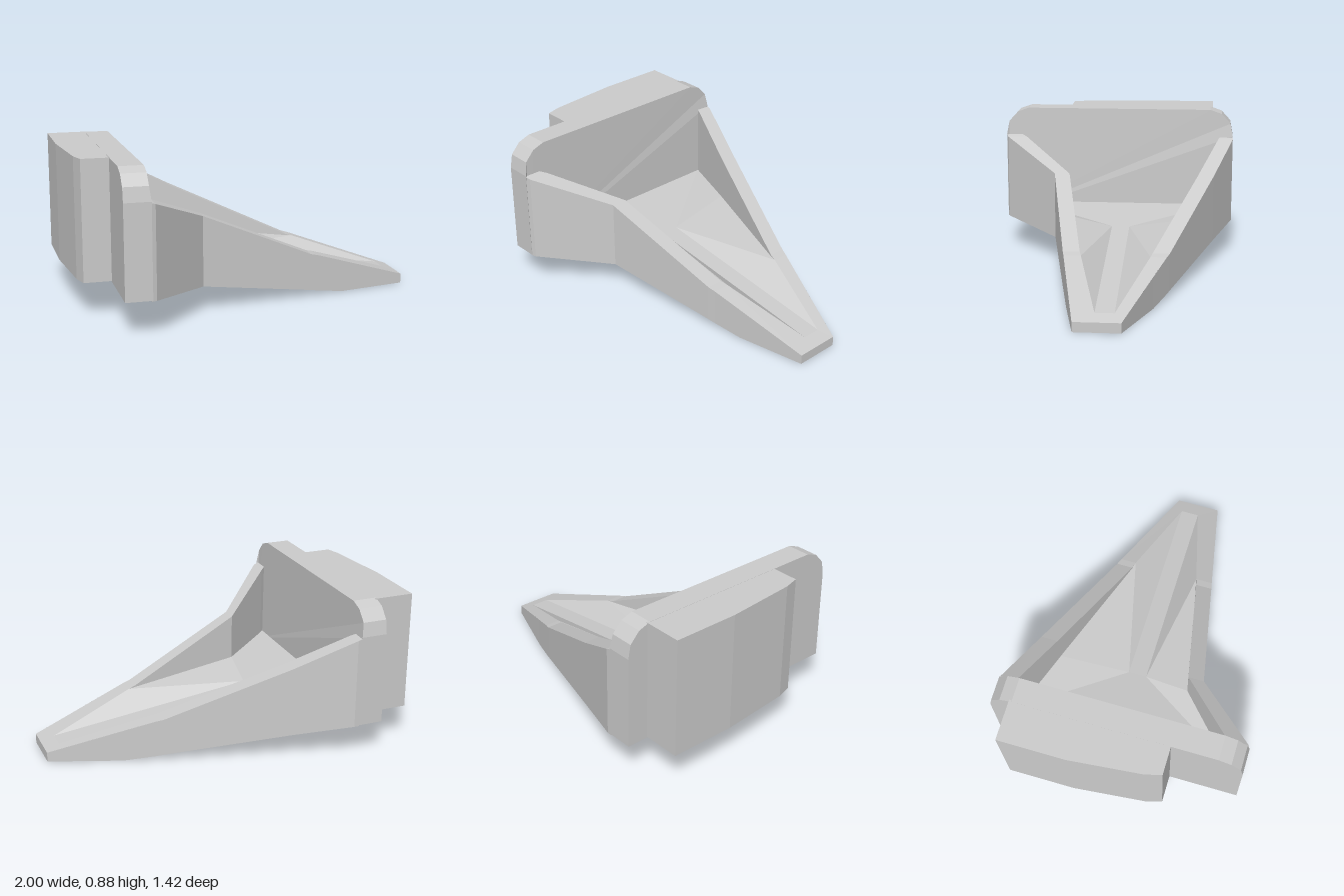
import * as THREE from 'three';

const material = new THREE.MeshStandardMaterial({ color: 0xcccccc, flatShading: true, side: THREE.DoubleSide });

// Mesh from planar faces, each a list of 3 or 4 [x, y, z] corners
function facetMesh(name, faces) {
  const positions = [];
  for (const f of faces) {
    for (let i = 1; i < f.length - 1; i++) positions.push(...f[0], ...f[i], ...f[i + 1]);
  }
  const geometry = new THREE.BufferGeometry();
  geometry.setAttribute('position', new THREE.Float32BufferAttribute(positions, 3));
  geometry.computeVertexNormals();
  const mesh = new THREE.Mesh(geometry, material);
  mesh.name = name;
  return mesh;
}

// Closed skin through equal rings of points, capped at both ends
function loft(name, rings) {
  const faces = [[...rings[0]].reverse(), rings[rings.length - 1]];
  for (let i = 0; i < rings.length - 1; i++) {
    const a = rings[i], b = rings[i + 1];
    a.forEach((p, j) => {
      const k = (j + 1) % a.length;
      faces.push([p, a[k], b[k], b[j]]);
    });
  }
  return facetMesh(name, faces);
}

// Stations along x: [x, bottom y, outer left z, outer right z]
const hull = [
  [-0.64, 0.19, 0.71, -0.71], [-0.61, 0.19, 0.70, -0.71], [-0.28, 0.145, 0.365, -0.595],
  [0.39, 0.035, 0.24, -0.355], [0.43, 0.027, 0.232, -0.34], [0.6, 0, 0.2, -0.275], [1, 0, 0.125, -0.13],
];
// Wall stations matching the first hull stations: [top y, inner left z, inner right z]
const rim = [
  [0.715, 0.61, -0.63], [0.705, 0.58, -0.62], [0.545, 0.275, -0.5], [0.25, 0.145, -0.26], [0.24, 0.135, -0.25],
];

function sideWall(name, side) {
  return loft(name, rim.map((r, i) => {
    const [x, bottom] = hull[i], outer = hull[i][2 + side], inner = r[1 + side];
    return [[x, bottom, outer], [x, r[0], outer], [x, r[0], inner], [x, bottom + 0.02, inner]];
  }));
}

// Sloping floor with a narrow channel running into the nose
function deck() {
  const back = [[-0.64, 0.285, 0.61], [-0.64, 0.285, -0.63]];
  const bend = [[-0.28, 0.28, 0.275], [-0.28, 0.28, -0.5]];
  const start = [[-0.25, 0.23, 0.015], [-0.25, 0.23, -0.09]];
  const end = [[0.92, 0.08, 0.015], [0.92, 0.08, -0.09]];
  const apex = [[0.43, 0.24, 0.135], [0.43, 0.24, -0.25]];
  const shoulder = [[0.43, 0.24, 0.232], [0.43, 0.24, -0.34]];
  const nose = [[1, 0.055, 0.125], [1, 0.055, -0.13]];
  const faces = [
    [back[0], start[0], start[1]], [back[0], start[1], back[1]],
    [start[0], end[0], end[1], start[1]], [end[0], nose[0], nose[1], end[1]],
  ];
  for (const s of [0, 1]) {
    const sideFaces = [
      [back[s], bend[s], start[s]], [bend[s], apex[s], start[s]],
      [start[s], apex[s], end[s]], [apex[s], shoulder[s], nose[s], end[s]],
    ];
    faces.push(...sideFaces.map((f) => (s ? f.reverse() : f)));
  }
  return facetMesh('deck', faces);
}

// Underside, nose flanks and blunt tip
function underside() {
  const faces = [];
  for (let i = 0; i < hull.length - 1; i++) {
    const [x0, y0, l0, r0] = hull[i], [x1, y1, l1, r1] = hull[i + 1];
    faces.push([[x0, y0, l0], [x0, y0, r0], [x1, y1, r1], [x1, y1, l1]]);
  }
  return facetMesh('underside', faces);
}

function noseSides() {
  const faces = [[[1, 0, 0.125], [1, 0, -0.13], [1, 0.055, -0.13], [1, 0.055, 0.125]]];
  for (const s of [2, 3]) {
    const [a, b, c] = hull.slice(4).map((h) => [h[0], h[1], h[s]]);
    const top = [[0.43, 0.24, a[2]], [0.6, 0.185, b[2]], [1, 0.055, c[2]]];
    const pair = [[a, b, top[1], top[0]], [b, c, top[2], top[1]]];
    faces.push(...pair.map((f) => (s === 3 ? f.reverse() : f)));
  }
  return facetMesh('noseSides', faces);
}

// Tall plate with clipped, rounded upper corners and a slightly leaning top
function backPlate() {
  const half = [[0.71, 0.195], [0.71, 0.72], [0.695, 0.8], [0.64, 0.86], [0.57, 0.885]];
  const outline = [...half, ...half.map(([z, y]) => [-z, y]).reverse()];
  const rear = outline.map(([z, y]) => [-0.78, y, z]);
  const front = outline.map(([z, y]) => [y > 0.73 ? -0.642 : -0.632, y, z]);
  return loft('backPlate', [rear, front]);
}

// Offset block behind the plate with a slanted rear face
function rearBlock() {
  const plan = [[-0.77, 0.31], [-0.935, 0.31], [-0.96, 0.22], [-1, -0.2], [-1, -0.585], [-0.77, -0.585]];
  return loft('rearBlock', [0.2, 0.884].map((y) => plan.map(([x, z]) => [x, y, z])));
}

export function createModel() {
  const model = new THREE.Group();
  model.name = 'wedgeShell';
  model.add(
    sideWall('leftWall', 0), sideWall('rightWall', 1),
    deck(), underside(), noseSides(), backPlate(), rearBlock(),
  );
  return model;
}
